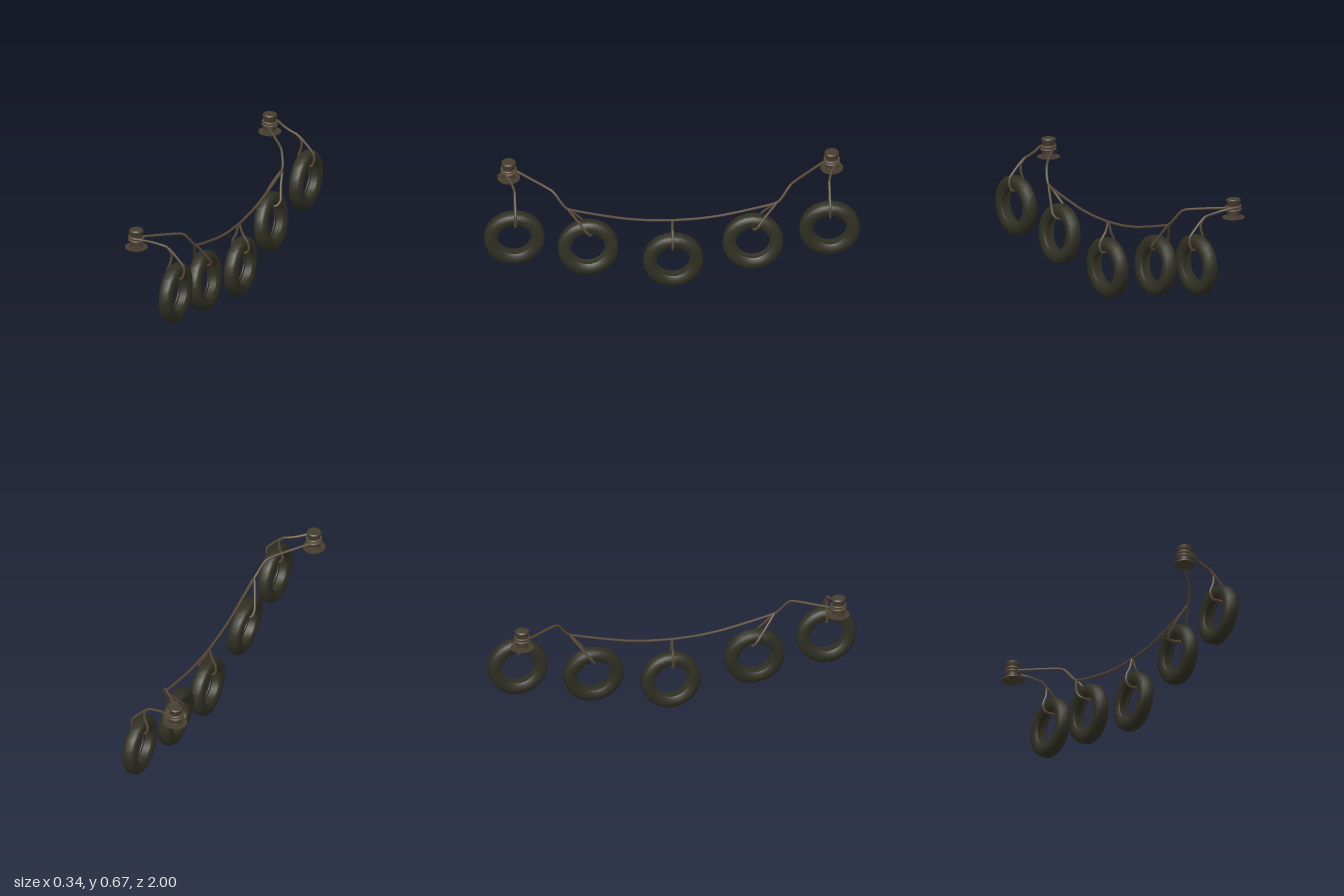
import * as THREE from 'three';
import { toCreasedNormals } from 'three/addons/utils/BufferGeometryUtils.js';

const mat = (name, color) => {
  const m = new THREE.MeshStandardMaterial({ color });
  m.name = name;
  return m;
};

export function createModel() {
  const rubber = mat('dark rubber', 0x2f2f23);
  const ropeMat = mat('brown rope', 0x574838);
  const iron = mat('weathered iron', 0x463d2f);
  const model = new THREE.Group();
  const lathe = (pts, sides) => new THREE.LatheGeometry(pts.map(([r, y]) => new THREE.Vector2(r, y)), sides);

  const add = (geometry, material, name, parent = model) => {
    const mesh = new THREE.Mesh(geometry, material);
    mesh.name = name;
    parent.add(mesh);
    return mesh;
  };

  // Rope with nearly straight runs between its bends
  const rope = (pts, name, parent, closed = false) => {
    const curve = new THREE.CatmullRomCurve3(pts.map(p => new THREE.Vector3(...p)), closed, 'catmullrom', 0.25);
    return add(new THREE.TubeGeometry(curve, pts.length * 8, 0.007, 8, closed), ropeMat, name, parent);
  };

  // Tyre: rounded tread and sidewalls, hollow groove on the inside
  const half = [[0.161, 0.019], [0.152, 0.031], [0.128, 0.038], [0.106, 0.035], [0.093, 0.026], [0.093, 0.019], [0.104, 0.017]];
  const section = [[0.161, -0.019], ...half, ...half.slice().reverse().map(([r, y]) => [r, -y])];
  const tyreGeo = toCreasedNormals(lathe(section, 24), 0.85).rotateZ(-Math.PI / 2);
  const tyres = [
    [0.113, 0.341, 0.84, 0], [0.105, 0.26, 0.448, 0.09], [0.11, 0.165, -0.004, 0],
    [0.094, 0.257, -0.428, 0.09], [0.113, 0.341, -0.835, 0]
  ];
  for (const [x, y, z, tilt] of tyres) {
    const t = add(tyreGeo, rubber, 'tyre');
    t.position.set(x, y, z);
    t.rotation.z = tilt;
  }

  // Bollard: flat foot, collar, column and flared cap
  const bollardGeo = toCreasedNormals(lathe([
    [0, 0], [0.061, 0], [0.061, 0.006], [0.038, 0.007], [0.038, 0.012], [0.033, 0.014], [0.033, 0.078],
    [0.038, 0.086], [0.039, 0.1], [0.034, 0.106], [0, 0.106]
  ], 20), 0.6);

  for (const s of [1, -1]) {
    const mooring = new THREE.Group();
    mooring.name = s > 0 ? 'frontMooring' : 'backMooring';
    model.add(mooring);
    const bx = -0.108, bz = s * 0.858;
    add(bollardGeo, iron, 'bollard', mooring).position.set(bx, 0.57, bz);

    // Turns of rope wound on the bollard
    for (const [y, lean] of [[0.632, -0.08], [0.615, -0.05]]) {
      const wrap = add(new THREE.TorusGeometry(0.037, 0.007, 8, 24), ropeMat, 'ropeTurn', mooring);
      wrap.rotation.set(Math.PI / 2, lean, 0);
      wrap.position.set(bx, y, bz);
    }

    // Rope from the bollard to the end tyre, and the sling through it
    const ez = s * 0.836;
    rope([[-0.105, 0.633, bz + s * 0.037], [-0.07, 0.628, bz + s * 0.025], [-0.02, 0.615, s * 0.856],
      [0.02, 0.604, s * 0.843], [0.06, 0.593, ez], [0.083, 0.568, ez]], 'endRope', mooring);
    rope([[0.07, 0.587, ez], [0.11, 0.55, ez], [0.155, 0.5, ez], [0.161, 0.465, ez], [0.147, 0.428, ez], [0.113, 0.424, ez],
      [0.079, 0.428, ez], [0.066, 0.465, ez], [0.085, 0.52, ez], [0.087, 0.56, ez]], 'endSling', mooring, true);

    // Sling of the tilted tyre
    const dx = s > 0 ? 0 : -0.008;
    rope([[0.1, 0.503, s * 0.555], [0.068 + dx, 0.43, s * 0.497], [0.05 + dx, 0.375, s * 0.455], [0.057 + dx, 0.345, s * 0.432],
      [0.1 + dx, 0.343, s * 0.43], [0.134 + dx, 0.35, s * 0.435], [0.146 + dx, 0.375, s * 0.455],
      [0.125 + dx, 0.44, s * 0.505]], 'middleSling', mooring, true);
  }

  // Main rope hanging between the bollards
  const side = [[-0.1, 0.617, 0.815], [0.058, 0.592, 0.635], [0.1, 0.503, 0.555], [0.102, 0.436, 0.28], [0.102, 0.417, 0.14]];
  rope([...side, [0.102, 0.411, 0], ...side.slice().reverse().map(([x, y, z]) => [x, y, -z])], 'mainRope', model);

  // Sling of the lowest tyre
  rope([[0.102, 0.411, 0], [0.085, 0.35, 0], [0.067, 0.315, 0], [0.062, 0.28, 0], [0.075, 0.252, 0], [0.11, 0.247, 0],
    [0.147, 0.252, 0], [0.16, 0.28, 0], [0.15, 0.315, 0], [0.12, 0.36, 0]], 'centreSling', model, true);

  return model;
}
